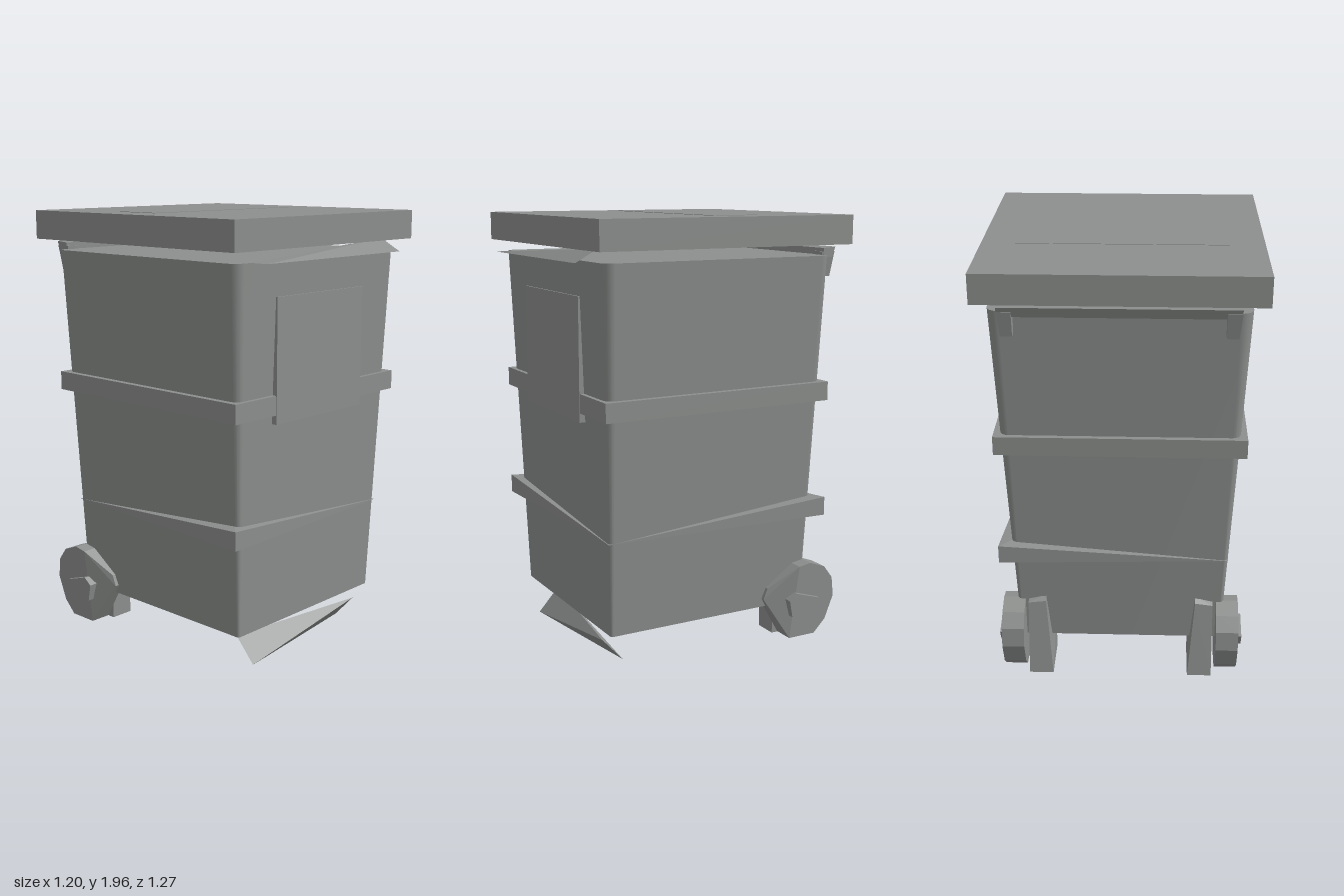
import * as THREE from 'three';
import { ConvexGeometry } from 'three/addons/geometries/ConvexGeometry.js';

export function createModel() {
  const model = new THREE.Group();
  const grey = new THREE.MeshStandardMaterial({ color: 0x8c8f8d });
  grey.name = 'grey plastic';

  const add = (name, geometry) => {
    const mesh = new THREE.Mesh(geometry, grey);
    mesh.name = name;
    model.add(mesh);
    return mesh;
  };
  // box given by its lower and upper limits
  const box = (name, x0, x1, y0, y1, z0, z1) => {
    const g = new THREE.BoxGeometry(x1 - x0, y1 - y0, z1 - z0);
    g.translate((x0 + x1) / 2, (y0 + y1) / 2, (z0 + z1) / 2);
    return add(name, g);
  };
  // faceted solid spanned by a few corner points
  const solid = (name, points) =>
    add(name, new ConvexGeometry(points.map((p) => new THREE.Vector3(...p))));

  // tapered body with rounded upright corners
  const ring = (hx, zBack, zFront, y, r) => {
    const pts = [];
    const corners = [[1, 1], [-1, 1], [-1, -1], [1, -1]];
    corners.forEach(([sx, sz], c) => {
      for (let i = 0; i <= 4; i++) {
        const a = (c + i / 4) * Math.PI / 2;
        const cz = sz > 0 ? zFront - r : zBack + r;
        pts.push([sx * (hx - r) + r * Math.cos(a), y, cz + r * Math.sin(a)]);
      }
    });
    return pts;
  };
  const bottom = ring(0.46, -0.5, 0.495, 0.16, 0.012);
  const top = ring(0.54, -0.565, 0.55, 1.775, 0.05);
  const n = bottom.length;
  const verts = [...bottom, ...top, ...bottom, ...top];
  const index = [];
  for (let i = 0; i < n; i++) {
    const j = (i + 1) % n;
    index.push(i, n + i, j, j, n + i, n + j);
    if (i > 0 && i < n - 1) {
      index.push(2 * n, 2 * n + i, 2 * n + i + 1);
      index.push(3 * n, 3 * n + i + 1, 3 * n + i);
    }
  }
  const body = new THREE.BufferGeometry();
  body.setAttribute('position', new THREE.Float32BufferAttribute(verts.flat(), 3));
  body.setIndex(index);
  body.computeVertexNormals();
  add('body', body);

  // bands around the body; the lower one runs out at two opposite corners
  box('upperBand', -0.54, 0.54, 1.125, 1.21, -0.565, 0.55);
  solid('lowerBand', [
    [-0.54, 0.67, 0.55], [-0.54, 0.585, 0.55], [0.48, 0.585, 0.512],
    [0.54, 0.67, -0.565], [0.54, 0.585, -0.565], [-0.48, 0.585, -0.52],
  ]);

  // front panel, sunk into the body towards its top
  solid('frontPanel', [1, -1].flatMap((s) => [
    [s * 0.29, 1.085, 0.553], [s * 0.29, 1.625, 0.553],
    [s * 0.29, 1.085, 0.5], [s * 0.29, 1.625, 0.5],
  ]));

  // lid with a thin plate on top
  box('lid', -0.6, 0.595, 1.825, 1.953, -0.635, 0.597);
  box('lidPlate', -0.45, 0.45, 1.952, 1.955, -0.23, -0.01);

  // wedge lip below the lid at the front
  solid('frontLip', [
    [-0.45, 1.775, 0.636], [0.45, 1.775, 0.636],
    [0.45, 1.83, 0.535], [-0.45, 1.775, 0.535],
  ]);

  // twisted foot bar under the front edge
  solid('frontFoot', [
    [-0.36, 0, 0.49], [-0.36, 0.11, 0.39], [0.36, 0.11, 0.49], [0.36, 0, 0.39],
  ]);

  // rear handle bar
  solid('rearHandle', [-0.49, 0.49].flatMap((x) => [
    [x, 1.805, -0.56], [x, 1.81, -0.622], [x, 1.765, -0.605], [x, 1.765, -0.56],
  ]));

  // wheel outline and hub outline as [z, y]
  const rim = [
    [-0.28, 0.2], [-0.3, 0.25], [-0.44, 0.35], [-0.5, 0.36], [-0.58, 0.33],
    [-0.625, 0.27], [-0.635, 0.18], [-0.59, 0.07], [-0.53, 0.01], [-0.39, 0.01],
  ];
  const hub = [[-0.375, 0.2], [-0.415, 0.23], [-0.54, 0.19], [-0.51, 0.13], [-0.39, 0.12]];
  const slab = (outline, x0, x1) =>
    outline.flatMap(([z, y]) => [[x0, y, z], [x1, y, z]]);

  for (const s of [1, -1]) {
    const side = s > 0 ? 'left' : 'right';
    solid(side + 'HandleBracket', [
      [s * 0.43, 1.79, -0.55], [s * 0.49, 1.79, -0.55],
      [s * 0.43, 1.79, -0.618], [s * 0.49, 1.79, -0.618],
      [s * 0.43, 1.68, -0.555], [s * 0.48, 1.68, -0.555],
      [s * 0.43, 1.68, -0.6], [s * 0.48, 1.68, -0.6],
    ]);
    // wheel with its front part narrowed on the outer side
    solid(side + 'Wheel', [
      ...slab(rim.slice(2), s * 0.435, s * 0.535),
      ...slab(rim.slice(0, 2), s * 0.435, s * 0.48),
    ]);
    solid(side + 'Hub', slab(hub, s * 0.5, s * 0.557));
    // support leaning onto the back of the body
    solid(side + 'WheelBracket', [
      [s * 0.31, 0, -0.37], [s * 0.42, 0, -0.37],
      [s * 0.31, 0, -0.585], [s * 0.42, 0, -0.585],
      [s * 0.31, 0.18, -0.37], [s * 0.42, 0.18, -0.37],
      [s * 0.34, 0.38, -0.5], [s * 0.42, 0.36, -0.5],
      [s * 0.34, 0.36, -0.53], [s * 0.42, 0.35, -0.53],
    ]);
  }
  return model;
}
